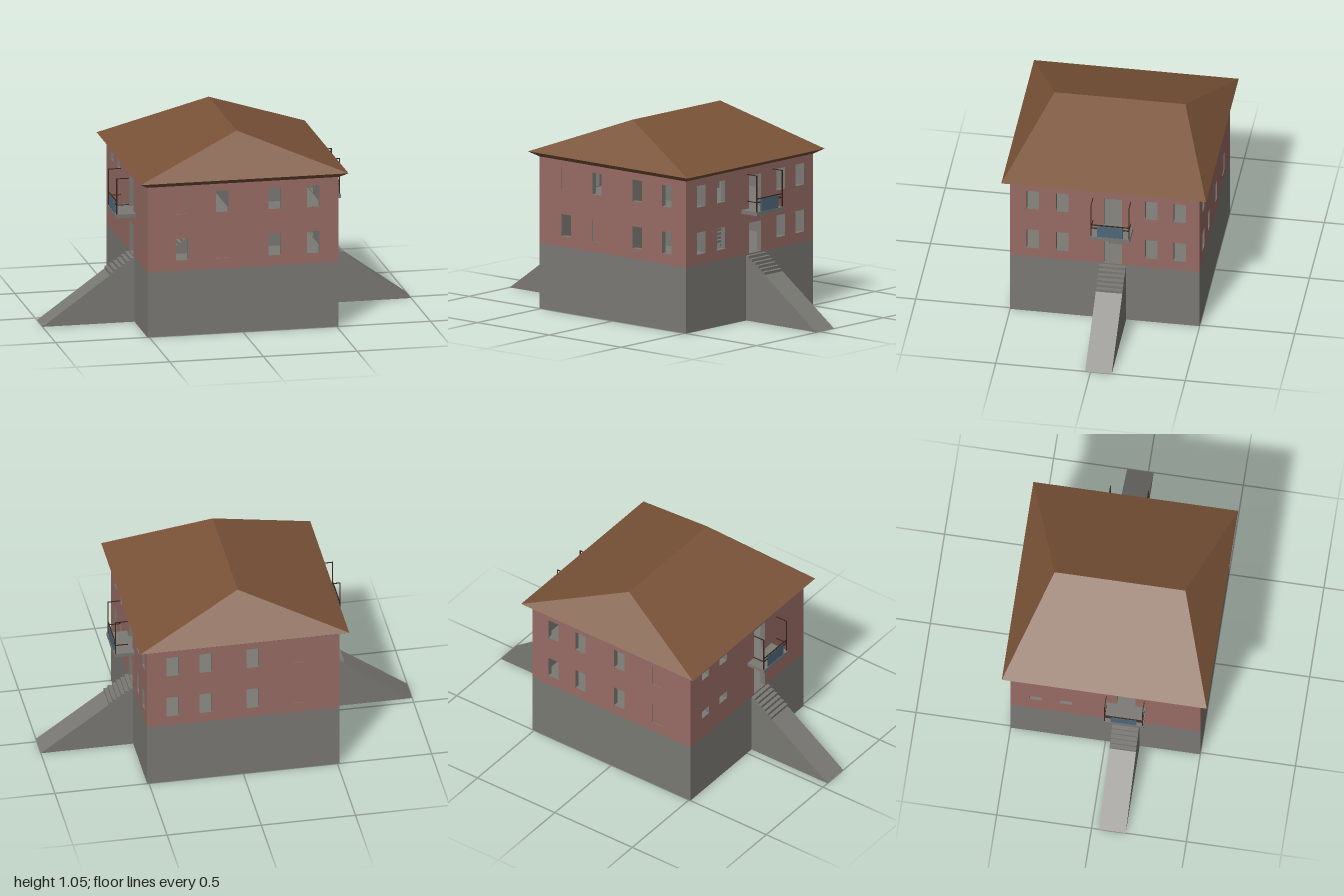
import * as THREE from 'three';

const mat = (name, color, side = THREE.FrontSide) => {
  const m = new THREE.MeshStandardMaterial({ color, side });
  m.name = name;
  return m;
};
const HX = 0.51, HZ = 0.5, BASE = 0.35, TOP = 0.81;
const SIDE_Z = { right: -0.042, left: 0.11 };

export function createModel() {
  const concrete = mat('concrete', 0x7a7974, THREE.DoubleSide);
  const brick = mat('brick', 0x986c65, THREE.DoubleSide);
  const roofTile = mat('roofTile', 0x7a5338);
  const iron = mat('darkIron', 0x3a241b);
  const bluePanel = mat('bluePanel', 0x4f687a);
  const model = new THREE.Group();
  model.name = 'house';

  const add = (parent, name, geo, material, x = 0, y = 0, z = 0) => {
    const m = new THREE.Mesh(geo, material);
    m.name = name;
    m.position.set(x, y, z);
    parent.add(m);
    return m;
  };
  // box given by its min and max corners
  const box = (parent, name, material, a, b) =>
    add(parent, name, new THREE.BoxGeometry(b[0] - a[0], b[1] - a[1], b[2] - a[2]), material,
      (a[0] + b[0]) / 2, (a[1] + b[1]) / 2, (a[2] + b[2]) / 2);
  const poly = (pts) => new THREE.Shape(pts.map(([x, y]) => new THREE.Vector2(x, y)));
  const rect = (x0, y0, x1, y1) => [[x0, y0], [x1, y0], [x1, y1], [x0, y1]];
  const triangles = (coords) => {
    const g = new THREE.BufferGeometry();
    g.setAttribute('position', new THREE.Float32BufferAttribute(coords, 3));
    g.computeVertexNormals();
    return g;
  };

  // wall with openings: brick skin over a concrete body; blind openings get a brick fill
  const wallShape = (half, y0, y1, openings) => {
    const s = poly(rect(-half, y0, half, y1));
    openings.forEach((o) => s.holes.push(poly(rect(o[0], o[1], o[2], o[3]))));
    return s;
  };
  const wall = (name, half, dist, turn, openings, notchCentre) => {
    const g = new THREE.Group();
    g.name = name;
    g.rotation.y = turn;
    model.add(g);
    add(g, 'brickSkin', new THREE.ShapeGeometry(wallShape(half, BASE, TOP, openings)), brick, 0, 0, dist);
    const body = new THREE.ExtrudeGeometry(wallShape(half - 0.002, BASE, TOP, openings),
      { depth: 0.028, bevelEnabled: false });
    add(g, 'wallBody', body, concrete, 0, 0, dist - 0.029);
    openings.filter((o) => o[4]).forEach((o) =>
      add(g, 'blindWindow', new THREE.ShapeGeometry(poly(rect(...o.slice(0, 4)))), brick, 0, 0, dist - 0.005));
    // plinth, open behind the stair where there is one
    const c = notchCentre;
    const outline = c === undefined ? rect(-half, 0, half, BASE)
      : [[-half, 0], [c - 0.07, 0], [c - 0.07, 0.345], [c + 0.07, 0.345], [c + 0.07, 0], [half, 0], [half, BASE], [-half, BASE]];
    add(g, 'plinth', new THREE.ShapeGeometry(poly(outline)), concrete, 0, 0, dist);
  };

  const LOW = [0.405, 0.522], HIGH = [0.655, 0.77];
  const win = (x, [y0, y1], blind = false) => [x - 0.033, y0, x + 0.033, y1, blind];
  const doors = (c) => [[c - 0.048, 0.352, c + 0.048, 0.515], [c - 0.048, 0.592, c + 0.048, 0.765]];

  wall('frontWall', HX, HZ, 0, [-0.325, -0.11, 0.17, 0.375].flatMap((x, i) =>
    [win(x, LOW, i === 1), win(x, HIGH, i === 0)]));
  wall('backWall', HX, HZ, Math.PI, [0.375, 0.2, -0.05, -0.295].flatMap((x, i) =>
    [win(-x, LOW, i === 3), win(-x, HIGH, i === 3)]));
  wall('rightWall', HZ, HX, Math.PI / 2, [...doors(-SIDE_Z.right),
    ...[0.38, 0.225, -0.245, -0.395].flatMap((z) => [win(-z, LOW), win(-z, HIGH)])], -SIDE_Z.right);
  wall('leftWall', HZ, HX, -Math.PI / 2, [...doors(SIDE_Z.left),
    ...[-0.367, -0.21].flatMap((z) => [win(z, [0.475, 0.522]), win(z, [0.725, 0.77])])], SIDE_Z.left);

  // floors and inner partitions
  box(model, 'groundFloor', concrete, [-0.505, 0.338, -0.495], [0.505, 0.348, 0.495]);
  box(model, 'upperFloor', concrete, [-0.48, 0.575, -0.47], [0.48, 0.588, 0.47]);
  box(model, 'longPartition', concrete, [-0.01, 0.348, -0.33], [0.01, 0.808, 0.46]);
  box(model, 'crossPartition', concrete, [0.01, 0.348, 0.09], [0.32, 0.808, 0.11]);

  // hipped roof: rings from soffit to eave to ridge, and a flat underside
  const corners = [[1, 1], [1, -1], [-1, -1], [-1, 1]];
  const rings = [[HX, 0.808, HZ], [0.555, 0.835, 0.54], [0, 1.047, 0.345]];
  const at = (r, k) => [rings[r][0] * corners[k % 4][0], rings[r][1], rings[r][2] * corners[k % 4][1]];
  const roof = [];
  for (let k = 0; k < 4; k++) {
    for (let r = 0; r < 2; r++) {
      const a = at(r, k), b = at(r, k + 1), c = at(r + 1, k + 1), d = at(r + 1, k);
      roof.push(...a, ...b, ...c);
      if (r === 0 || k % 2 === 0) roof.push(...a, ...c, ...d);
    }
  }
  roof.push(...at(0, 0), ...at(0, 2), ...at(0, 1), ...at(0, 0), ...at(0, 3), ...at(0, 2));
  add(model, 'hippedRoof', triangles(roof), roofTile);

  // ramp, steps, inner stair and balcony, made once for each side
  const entrance = (name, z, turn) => {
    const g = new THREE.Group();
    g.name = name;
    g.position.z = z;
    g.rotation.y = turn;
    model.add(g);

    // hollow outer stair
    const W = 0.07, profile = [[1, 0], [0.64, 0.258]];
    for (let i = 0; i < 6; i++) {
      const x = 0.64 - i * 0.0217, y = 0.258 + (i + 1) * 0.0145;
      profile.push([x, y], [Math.max(x - 0.0217, HX), y]);
    }
    const side = new THREE.ShapeGeometry(poly([...profile, [HX, 0]]));
    add(g, 'stairSide', side, concrete, 0, 0, W);
    add(g, 'stairSide', side, concrete, 0, 0, -W);
    const tread = [];
    for (let i = 0; i + 1 < profile.length; i++) {
      const [p, q] = [profile[i], profile[i + 1]];
      tread.push(...p, W, ...p, -W, ...q, -W, ...p, W, ...q, -W, ...q, W);
    }
    add(g, 'rampAndSteps', triangles(tread), concrete);

    // inner stair to the upper floor
    for (let i = 0; i < 15; i++) {
      box(g, 'innerStep', concrete, [0.012, 0.348 + i * 0.0148, -0.05],
        [0.33 - i * 0.02, 0.348 + (i + 1) * 0.0148, 0.05]);
    }

    // balcony
    box(g, 'balconySlab', concrete, [0.5, 0.572, -0.105], [0.617, 0.592, 0.105]);
    for (const s of [-0.1, 0.1]) {
      box(g, 'balconyPost', iron, [0.608, 0.592, s - 0.0025], [0.613, 0.787, s + 0.0025]);
      for (const y of [0.643, 0.785]) {
        box(g, 'sideRail', iron, [0.545, y - 0.002, s - 0.002], [0.611, y + 0.002, s + 0.002]);
      }
    }
    for (const y of [0.643, 0.662]) {
      box(g, 'frontRail', iron, [0.608, y - 0.0025, -0.1], [0.613, y + 0.0025, 0.1]);
    }
    box(g, 'balconyPanel', bluePanel, [0.607, 0.592, -0.068], [0.615, 0.66, 0.068]);
  };
  entrance('rightEntrance', SIDE_Z.right, 0);
  entrance('leftEntrance', SIDE_Z.left, Math.PI);

  return model;
}
